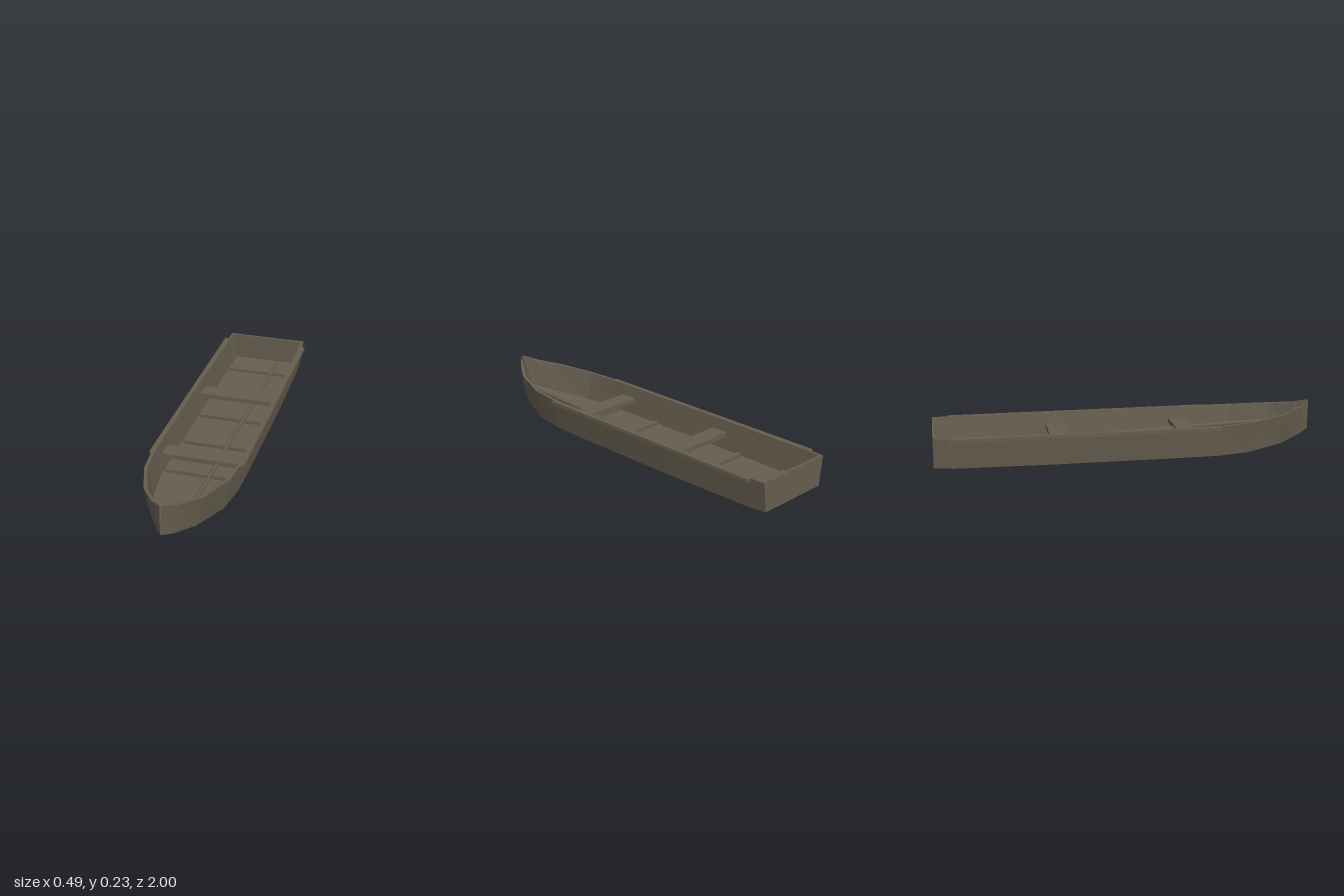
import * as THREE from 'three';

// Hull stations: z, top half width, top y, bottom half width, bottom y, inner top half width, inner bottom half width
const STATIONS = [
  [-1.0, 0.220, 0.162, 0.200, 0.008, 0.206, 0.186],
  [-0.9, 0.224, 0.162, 0.204, 0.002, 0.210, 0.189],
  [-0.4, 0.234, 0.162, 0.213, 0.000, 0.217, 0.196],
  [0.3, 0.235, 0.162, 0.213, 0.000, 0.217, 0.196],
  [0.45, 0.231, 0.163, 0.209, 0.000, 0.214, 0.192],
  [0.62, 0.213, 0.167, 0.186, 0.004, 0.196, 0.169],
  [0.82, 0.145, 0.184, 0.110, 0.022, 0.126, 0.092],
  [0.94, 0.063, 0.203, 0.040, 0.046, 0.045, 0.024],
  [1.0, 0.007, 0.226, 0.005, 0.070, 0.003, 0.002],
];
const FLOOR_THICKNESS = 0.011;

// Closed solid through rings of points, each counter-clockwise seen from +z, ordered by rising z
function loft(rings) {
  const pos = [];
  const n = rings[0].length;
  const tri = (a, b, c) => pos.push(...a, ...b, ...c);
  for (let i = 0; i < rings.length - 1; i++) {
    for (let j = 0; j < n; j++) {
      const k = (j + 1) % n;
      tri(rings[i][j], rings[i][k], rings[i + 1][k]);
      tri(rings[i][j], rings[i + 1][k], rings[i + 1][j]);
    }
  }
  const first = rings[0], last = rings[rings.length - 1];
  for (let j = 1; j < n - 1; j++) {
    tri(first[0], first[j + 1], first[j]);
    tri(last[0], last[j], last[j + 1]);
  }
  const geometry = new THREE.BufferGeometry();
  geometry.setAttribute('position', new THREE.Float32BufferAttribute(pos, 3));
  geometry.computeVertexNormals();
  return geometry;
}

export function createModel() {
  const boat = new THREE.Group();
  boat.name = 'rowingBoat';
  const wood = new THREE.MeshStandardMaterial({ color: 0x665e4f });
  wood.name = 'weatheredWood';

  const add = (name, geometry, x = 0, y = 0, z = 0) => {
    const mesh = new THREE.Mesh(geometry, wood);
    mesh.name = name;
    mesh.position.set(x, y, z);
    boat.add(mesh);
    return mesh;
  };
  const box = (name, w, h, d, x, y, z) => add(name, new THREE.BoxGeometry(w, h, d), x, y, z);

  // Side planking and rubbing rails, mirrored
  for (const side of [1, -1]) {
    const label = side > 0 ? 'left' : 'right';
    const rings = STATIONS.map(([z, tw, ty, bw, by, itw, ibw]) => {
      const ring = [[ibw, by], [bw, by], [tw, ty], [itw, ty]].map(([x, y]) => [x * side, y, z]);
      return side > 0 ? ring : ring.reverse();
    });
    add(label + 'HullSide', loft(rings));
    box(label + 'Rail', 0.018, 0.018, 1.38, side * 0.234, 0.153, -0.23);
  }

  // Floor following the rise of the bow
  add('floor', loft(STATIONS.map(([z, , , bw, by]) => {
    const w = bw - 0.002;
    return [[-w, by, z], [w, by, z], [w, by + FLOOR_THICKNESS, z], [-w, by + FLOOR_THICKNESS, z]];
  })));

  // Flat stern board
  add('transom', loft([-1, -0.985].map((z) => [
    [-0.199, 0.008, z], [0.199, 0.008, z], [0.219, 0.162, z], [-0.219, 0.162, z],
  ])));

  // Cross ribs on the floor
  for (const z of [-0.808, -0.51, -0.212, 0.086, 0.384]) {
    box('floorRib', 0.37, 0.022, 0.026, 0, 0.019, z);
  }

  // Bench seats
  for (const z of [-0.352, 0.323]) {
    box('bench', 0.428, 0.025, 0.094, 0, 0.09, z);
  }

  // Pole lying along the boat, raised towards the bow
  const start = new THREE.Vector3(0.077, 0.036, -0.92);
  const end = new THREE.Vector3(0.077, 0.1, 0.78);
  const pole = add('pole', new THREE.CylinderGeometry(0.011, 0.011, start.distanceTo(end), 8));
  pole.position.copy(start).lerp(end, 0.5);
  pole.quaternion.setFromUnitVectors(new THREE.Vector3(0, 1, 0), end.clone().sub(start).normalize());

  return boat;
}
